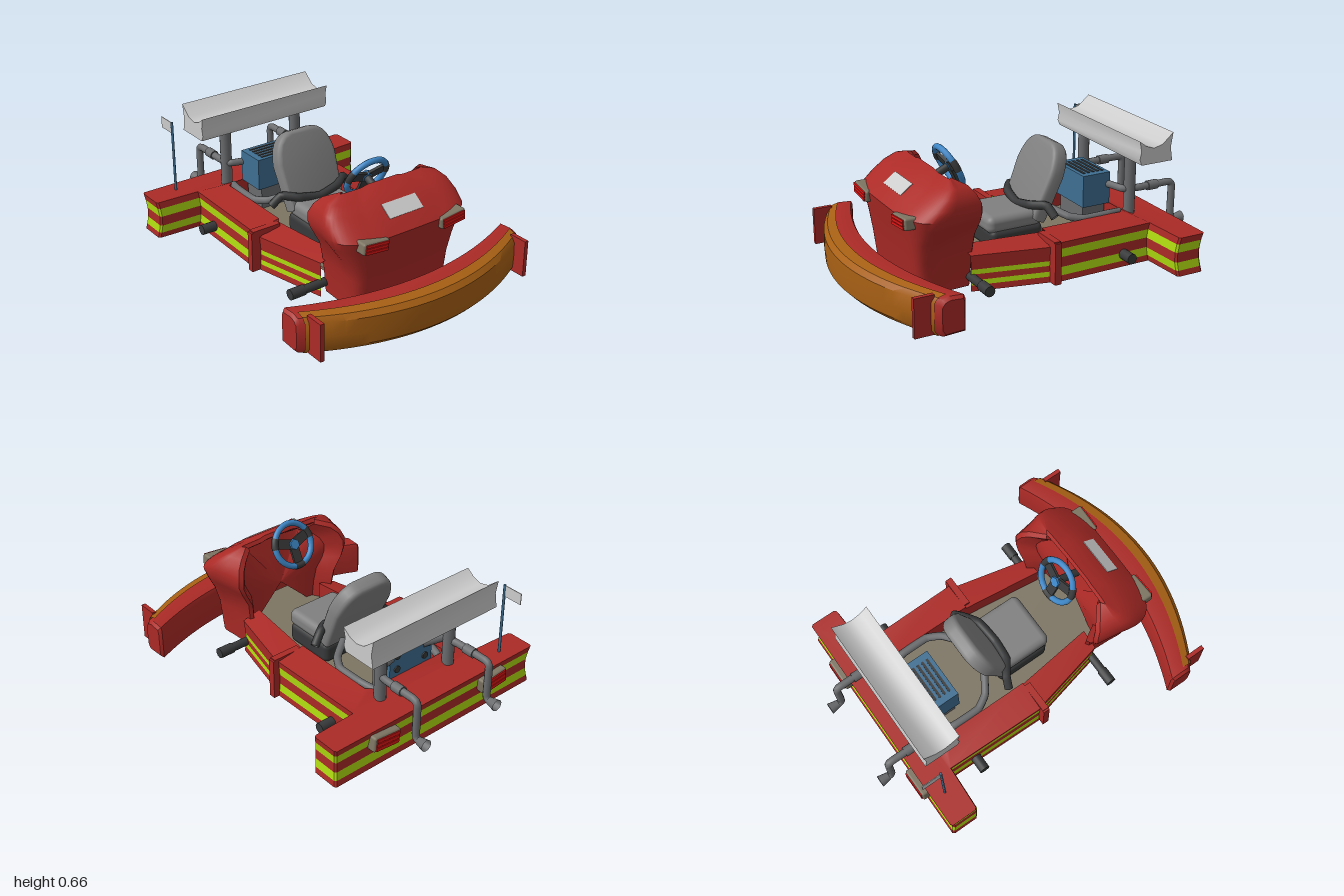
import * as THREE from 'three';
import { toCreasedNormals } from 'three/addons/utils/BufferGeometryUtils.js';
import { RoundedBoxGeometry } from 'three/addons/geometries/RoundedBoxGeometry.js';

const mat = (color) => new THREE.MeshStandardMaterial({ color, side: THREE.DoubleSide });
const RED = mat(0xab2a26), LIME = mat(0xb0dc10), ORANGE = mat(0xa86014), GREY = mat(0x6a6c6e);
const SEAT = mat(0x808080), DARK = mat(0x38393a), BLUE = mat(0x3f6f92), WHEEL = mat(0x3d86c6);
const BEIGE = mat(0x7d7563), LAMP = mat(0xe01414), PALE = mat(0xcccccc);

export function createModel() {
  const kart = new THREE.Group();
  kart.name = 'kart';
  const add = (name, geo, m, x = 0, y = 0, z = 0, parent = kart) => {
    const mesh = new THREE.Mesh(geo, m);
    mesh.name = name;
    mesh.position.set(x, y, z);
    parent.add(mesh);
    return mesh;
  };
  const box = (name, m, w, h, d, x, y, z, parent) => add(name, new THREE.BoxGeometry(w, h, d), m, x, y, z, parent);
  const tube = (name, m, pts, r, n = 32) => add(name, new THREE.TubeGeometry(
    new THREE.CatmullRomCurve3(pts.map((p) => new THREE.Vector3(...p)), false, 'catmullrom', 0.2), n, r, 10), m);
  // Skin through rows of [x, y, z] points of equal length
  const loft = (name, m, rows, crease = 0.6) => {
    const n = rows[0].length, idx = [];
    for (let i = 0; i < rows.length - 1; i++) for (let j = 0; j < n - 1; j++) {
      const a = i * n + j;
      idx.push(a, a + 1, a + n, a + 1, a + n + 1, a + n);
    }
    const g = new THREE.BufferGeometry();
    g.setAttribute('position', new THREE.Float32BufferAttribute(rows.flat(2), 3));
    g.setIndex(idx);
    return add(name, toCreasedNormals(g, crease), m);
  };
  const mirrored = (half) => [...half, ...half.slice().reverse().map(([x, z]) => [-x, z])];
  const flat = (path) => new THREE.Shape(path.map(([x, z]) => new THREE.Vector2(x, -z)));

  // Striped body walls: [y0, y1, material], slightly hollow at mid height
  const walls = (name, path, bands, top) => bands.forEach(([y0, y1, m]) => loft(name, m, [y0, y1].map((y) => {
    const f = 1 - 0.018 * Math.sin(Math.PI * (y - 0.015) / (top - 0.015));
    return path.map(([x, z]) => [x * f, y, z * f]);
  })));
  const at = (path, y) => path.map(([x, z]) => [x, y, z]);
  const outer = mirrored([[0.405, -0.08], [0.395, -0.62], [0.625, -0.63], [0.635, -0.64], [0.635, -0.77], [0.625, -0.78]]);
  const inner = mirrored([[0.25, -0.08], [0.25, -0.54], [0.22, -0.56]]);
  walls('rearBodyWall', outer, [[0.015, 0.045, RED], [0.045, 0.088, LIME], [0.088, 0.14, RED],
    [0.14, 0.185, LIME], [0.185, 0.22, RED]], 0.22);
  loft('rearInnerWall', RED, [at(inner, 0.245), at(inner, 0.11)]);
  // Top deck, rising slightly to its inner edge
  const deck = new THREE.ShapeGeometry(flat([...outer, ...inner.slice().reverse()])).rotateX(-Math.PI / 2);
  const dp = deck.attributes.position;
  for (let i = 0; i < dp.count; i++) dp.setY(i, Math.abs(dp.getX(i)) < 0.26 && dp.getZ(i) > -0.57 ? 0.245 : 0.22);
  deck.computeVertexNormals();
  add('rearBodyTop', deck, RED);

  for (const s of [-1, 1]) {
    const out = [[s * 0.3, 0.34], [s * 0.39, -0.05]], inn = [[s * 0.2, 0.34], [s * 0.25, -0.08]];
    walls('frontSideWall', out, [[0.015, 0.045, RED], [0.045, 0.07, LIME], [0.07, 0.1, RED],
      [0.1, 0.125, LIME], [0.125, 0.2, RED]], 0.2);
    loft('frontSideTop', RED, [at(out, 0.2), at(inn, 0.225), at(inn, 0.11)]);
    box('sideCollar', RED, 0.06, 0.215, 0.035, s * 0.405, 0.123, -0.065);
    box('collarRidge', RED, 0.16, 0.03, 0.035, s * 0.345, 0.222, -0.065);
  }

  // Floor, above the axles
  add('floor', new THREE.ExtrudeGeometry(flat(mirrored([[0.22, 0.56], [0.28, -0.57]])), { depth: 0.015, bevelEnabled: false }),
    BEIGE, 0, 0.108, 0).rotation.x = -Math.PI / 2;

  // Nose cowl: U-shaped levels [y, half width, rear z, front z, corner roundness]
  const levels = [[0.03, 0.285, 0.33, 0.6, 0.28], [0.2, 0.295, 0.32, 0.62, 0.28], [0.3, 0.335, 0.31, 0.635, 0.36],
    [0.38, 0.385, 0.3, 0.65, 0.45], [0.43, 0.408, 0.3, 0.66, 0.48], [0.475, 0.405, 0.3, 0.605, 0.48],
    [0.52, 0.385, 0.32, 0.543, 0.48], [0.555, 0.345, 0.345, 0.487, 0.5], [0.58, 0.26, 0.4, 0.42, 0.5]];
  const N = 28;
  const cowl = levels.map(([y, a, zr, zf, p]) => Array.from({ length: N + 1 }, (_, i) => {
    const t = Math.PI * i / N, c = Math.cos(t), s = Math.max(0, Math.sin(t));
    const ridge = y > 0.45 && Math.abs(c) < 0.12 ? 0.008 : 0, taper = y > 0.25 ? 0.15 : 0.08;
    return [a * Math.sign(c) * Math.abs(c) ** p * (1 - taper * (1 - s) ** 3), y + ridge, zr + (zf - zr) * s ** p];
  }));
  loft('noseCowl', RED, cowl, 0.7);
  // Hollow back of the cowl, drawn in from its rim
  const rim = [...cowl.map((r) => r[0]), ...cowl[8].slice(1, N), ...cowl.map((r) => r[N]).reverse()];
  loft('dashboard', RED, [[1, 0], [0.94, -0.012], [0.88, 0.01], [0.76, 0.07], [0, 0.06]].map(([k, dz]) =>
    rim.map(([x, y, z]) => [x * k, 0.28 + (y - 0.28) * k, (k ? z : 0.35) + dz])));
  box('nosePlate', PALE, 0.2, 0.01, 0.08, 0, 0.507, 0.568).rotation.x = 0.64;

  // Lamps front and rear
  const lamp = (name, x, y, z, dir, w, h) => {
    const g = new THREE.Group();
    g.name = name;
    g.position.set(x, y, z);
    g.rotation.z = Math.sign(x) * 0.1;
    kart.add(g);
    add('lampHousing', new RoundedBoxGeometry(w, h, 0.07, 2, 0.012), BEIGE, 0, 0, 0, g);
    for (const k of [-1, 0, 1]) box('lampStrip', LAMP, w * 0.86, h * 0.23, 0.012, 0, k * h * 0.28, dir * 0.034, g);
  };
  for (const s of [-1, 1]) {
    lamp('headlamp', s * 0.23, 0.412, 0.64, 1, 0.15, 0.06);
    lamp('rearLamp', s * 0.35, 0.155, -0.775, -1, 0.16, 0.08);
  }

  // Curved front bumper: section [depth 0..1, y] swept over x
  const section = [[0, 0.02], [0, 0.18], [0.06, 0.2], [0.6, 0.205], [0.85, 0.195], [0.98, 0.17], [1, 0.1], [0.98, 0.04],
    [0.85, 0.015], [0, 0.02]];
  const sweep = (half, pts, grow) => Array.from({ length: 25 }, (_, i) => {
    const x = half * (i / 12 - 1), q = (x / 0.66) ** 2, z0 = 0.7 - 0.15 * q, z1 = 0.88 - 0.2 * q;
    return pts.map(([d, y]) => [x, y + (y > 0.1 ? grow : 0), z0 + (z1 - z0) * d + (d > 0.8 ? grow : 0)]);
  });
  const bumper = sweep(0.66, section, 0);
  const cap = (row, k) => row.map(([x, y, z]) => [x + Math.sign(x) * 0.015, 0.11 + (y - 0.11) * k, 0.615 + (z - 0.615) * k]);
  loft('frontBumper', RED, [cap(bumper[0], 0), cap(bumper[0], 0.85), ...bumper, cap(bumper[24], 0.85), cap(bumper[24], 0)]);
  loft('bumperStrip', ORANGE, sweep(0.645, section.slice(3, 9), 0.006));
  for (const s of [-1, 1]) box('bumperFin', RED, 0.022, 0.195, 0.1, s * 0.617, 0.115, 0.735);

  // Axles and drive chain
  for (const [name, z] of [['frontAxle', 0.325], ['rearAxle', -0.47]]) {
    add(name, new THREE.CylinderGeometry(0.022, 0.022, 0.94, 14), DARK, 0, 0.08, z).rotation.z = Math.PI / 2;
    for (const s of [-1, 1])
      add('axleHub', new THREE.CylinderGeometry(0.027, 0.027, 0.08, 14), DARK, s * 0.43, 0.08, z).rotation.z = Math.PI / 2;
  }
  for (const [z, r] of [[-0.47, 0.035], [-0.6, 0.045]])
    add('sprocket', new THREE.CylinderGeometry(r, r, 0.025, 16), BLUE, 0.06, 0.07, z).rotation.z = Math.PI / 2;
  for (const y of [0.03, 0.108]) box('chain', BLUE, 0.018, 0.008, 0.14, 0.06, y, -0.535);

  // Seat
  const back = new THREE.Shape();
  back.moveTo(-0.14, 0);
  back.lineTo(-0.155, 0.22);
  back.quadraticCurveTo(-0.14, 0.35, -0.06, 0.355);
  back.lineTo(0.06, 0.355);
  back.quadraticCurveTo(0.14, 0.35, 0.155, 0.22);
  back.lineTo(0.14, 0);
  add('backrest', toCreasedNormals(new THREE.ExtrudeGeometry(back, { depth: 0.035, bevelSize: 0.02, bevelThickness: 0.025,
    bevelSegments: 3, curveSegments: 8 }), 0.7), SEAT, 0, 0.25, -0.14).rotation.x = -0.4;
  add('seatCushion', new RoundedBoxGeometry(0.3, 0.09, 0.3, 4, 0.035), SEAT, 0, 0.255, 0.01);
  add('seatBase', new RoundedBoxGeometry(0.31, 0.11, 0.29, 3, 0.03), DARK, 0, 0.175, 0);
  tube('seatBolster', DARK, [[-0.24, 0.28, -0.16], [-0.19, 0.33, -0.14], [-0.12, 0.32, -0.09], [0, 0.3, -0.075],
    [0.12, 0.32, -0.09], [0.19, 0.33, -0.14], [0.24, 0.28, -0.16]], 0.022);

  // Steering wheel, tilted with its top forward
  const wheel = new THREE.Group();
  wheel.name = 'steeringWheel';
  wheel.position.set(0, 0.555, 0.3);
  wheel.rotation.x = 0.45;
  kart.add(wheel);
  add('wheelRim', new THREE.TorusGeometry(0.11, 0.016, 10, 36), WHEEL, 0, 0, 0, wheel);
  for (const a of [Math.PI * 1.5, Math.PI * 0.1, Math.PI * 0.9]) {
    box('wheelSpoke', DARK, 0.1, 0.05, 0.014, Math.cos(a) * 0.055, Math.sin(a) * 0.055, 0, wheel).rotation.z = a;
    add('wheelGrip', new THREE.TorusGeometry(0.11, 0.018, 10, 8, 0.5), DARK, 0, 0, 0, wheel).rotation.z = a - 0.25;
  }
  add('wheelHub', new THREE.CylinderGeometry(0.028, 0.028, 0.03, 6), WHEEL, 0, 0, -0.004, wheel).rotation.x = Math.PI / 2;
  add('steeringColumn', new THREE.CylinderGeometry(0.02, 0.02, 0.14, 12), DARK, 0, 0, 0.07, wheel).rotation.x = Math.PI / 2;

  // Engine with cooling slots and rear ports
  box('engineBlock', BLUE, 0.27, 0.17, 0.16, -0.02, 0.33, -0.48);
  box('engineMount', GREY, 0.22, 0.14, 0.13, -0.02, 0.19, -0.48);
  for (let i = 0; i < 5; i++) box('coolingSlot', DARK, 0.2, 0.006, 0.013, -0.02, 0.415, -0.535 + i * 0.027);
  for (const x of [-0.11, 0.07]) for (const y of [0.285, 0.36])
    add('enginePort', new THREE.CylinderGeometry(0.018, 0.018, 0.01, 14), DARK, x, y, -0.562).rotation.x = Math.PI / 2;

  // Rear wing on two struts
  const wing = new THREE.Shape([[-0.742, 0.675], [-0.73, 0.6], [-0.742, 0.53], [-0.56, 0.53], [-0.548, 0.56], [-0.556, 0.6],
    [-0.545, 0.655], [-0.585, 0.625], [-0.63, 0.61], [-0.68, 0.622]].map(([z, y]) => new THREE.Vector2(-z, y)));
  add('rearWing', toCreasedNormals(new THREE.ExtrudeGeometry(wing, { depth: 0.78, bevelEnabled: false }), 0.8),
    PALE, -0.39).rotation.y = Math.PI / 2;
  for (const s of [-1, 1]) {
    add('wingStrut', new THREE.CylinderGeometry(0.03, 0.03, 0.34, 14), GREY, s * 0.22, 0.37, -0.61);
    tube('seatStay', GREY, [[s * 0.21, 0.23, -0.56], [s * 0.23, 0.24, -0.48], [s * 0.23, 0.24, -0.34], [s * 0.19, 0.25, -0.27],
      [s * 0.1, 0.28, -0.21]], 0.02);
    tube('exhaustPipe', GREY, [[s * 0.1, 0.35, -0.55], [s * 0.21, 0.35, -0.58], [s * 0.23, 0.35, -0.66], [s * 0.23, 0.35, -0.84],
      [s * 0.23, 0.33, -0.865], [s * 0.23, 0.16, -0.865], [s * 0.23, 0.14, -0.88], [s * 0.23, 0.14, -0.9]], 0.019, 48);
    add('exhaustCollar', new THREE.CylinderGeometry(0.025, 0.025, 0.06, 14), GREY, s * 0.23, 0.35, -0.74).rotation.x = Math.PI / 2;
    add('exhaustTip', new THREE.CylinderGeometry(0.03, 0.02, 0.05, 14, 1, true), GREY, s * 0.23, 0.14, -0.91).rotation.x = -Math.PI / 2;
  }

  // Flag pole
  add('flagPole', new THREE.CylinderGeometry(0.007, 0.007, 0.4, 8), BLUE, -0.475, 0.405, -0.71);
  box('flag', PALE, 0.004, 0.06, 0.1, -0.475, 0.572, -0.765);

  // The kart stands diagonally
  kart.rotation.y = Math.PI / 4;
  const model = new THREE.Group();
  model.add(kart);
  return model;
}
